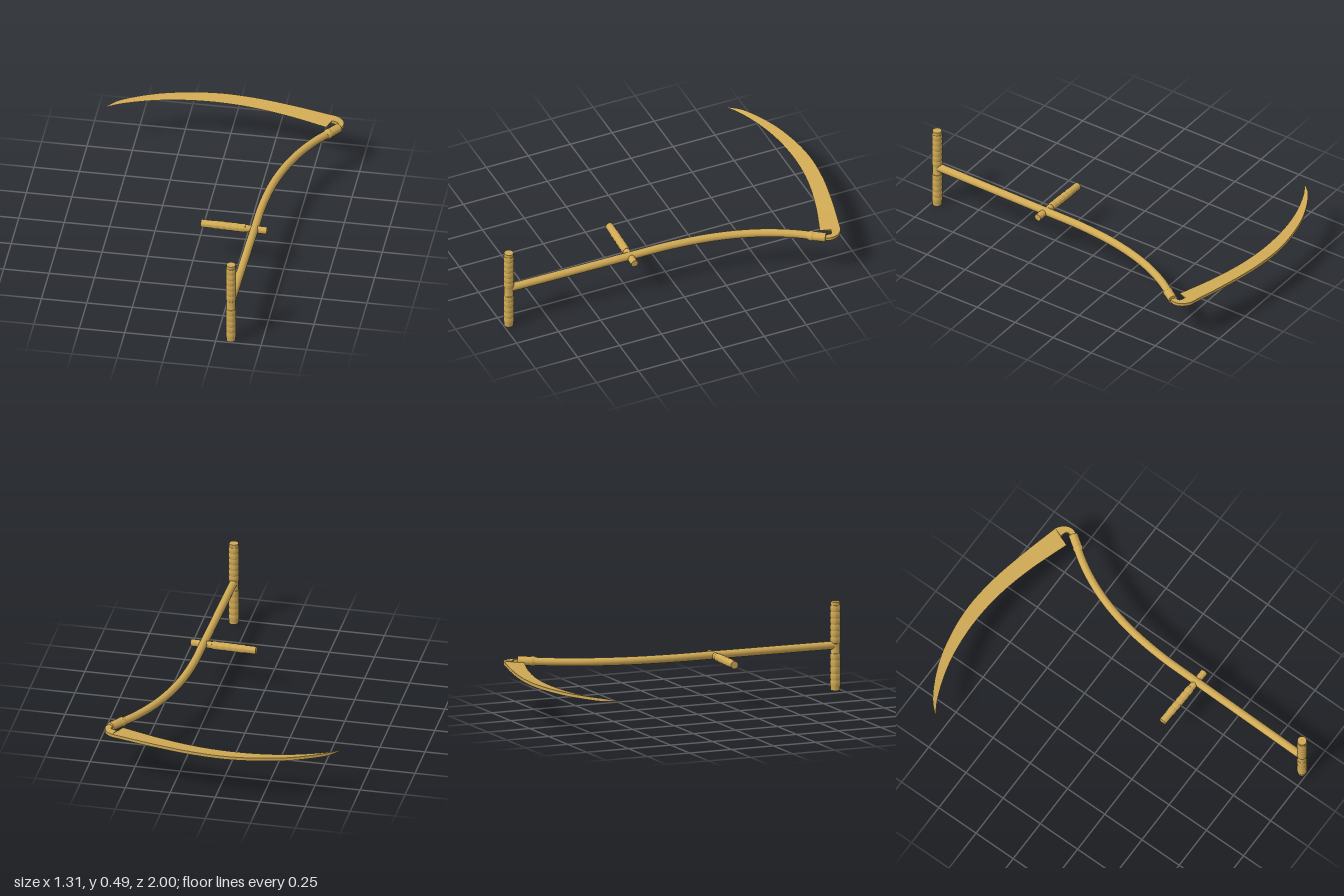
import * as THREE from 'three';
import { toCreasedNormals } from 'three/addons/utils/BufferGeometryUtils.js';

const Y = 0.249; // height of the shaft and blade plane
const material = new THREE.MeshStandardMaterial({ color: 0xd0aa55 });
const vec = (x, z, y = Y) => new THREE.Vector3(x, y, z);

function add(group, name, geometry) {
  const mesh = new THREE.Mesh(geometry, material);
  mesh.name = name;
  group.add(mesh);
  return mesh;
}

// Turned part: profile of [radius, distance] pairs along the line from a to b
function turned(group, name, a, b, profile) {
  const points = profile.map(([r, d]) => new THREE.Vector2(r, d));
  const mesh = add(group, name, toCreasedNormals(new THREE.LatheGeometry(points, 20), 0.5));
  mesh.position.copy(a);
  mesh.quaternion.setFromUnitVectors(new THREE.Vector3(0, 1, 0), b.clone().sub(a).normalize());
}

// Gently swelling beads of a wrapped grip
function beads(from, to, count, rMin, rMax) {
  const profile = [];
  const step = (to - from) / count;
  for (let i = 0; i < count; i++) {
    const d = from + i * step;
    profile.push([rMin, d], [rMax, d + step * 0.2], [rMax, d + step * 0.8]);
  }
  profile.push([rMin, to]);
  return profile;
}

// Wedge-section blade: thick back, sharp inner edge
function bladeGeometry() {
  const back = new THREE.CatmullRomCurve3([[-0.66, -0.77], [-0.59, -0.84], [-0.42, -0.93], [-0.25, -0.978],
    [-0.06, -1], [0.14, -0.987], [0.36, -0.945], [0.6, -0.885]].map(([x, z]) => vec(x, z)));
  const edge = new THREE.CatmullRomCurve3([[-0.66, -0.77], [-0.57, -0.822], [-0.41, -0.88], [-0.25, -0.911],
    [-0.06, -0.92], [0.13, -0.902], [0.34, -0.853], [0.56, -0.78]].map(([x, z]) => vec(x, z)));
  const n = 48;
  const positions = [];
  const face = (...pts) => pts.forEach((p) => positions.push(p.x, p.y, p.z));
  const quad = (a, b, c, d) => { face(a, b, c); face(a, c, d); };
  const section = (i) => {
    const t = i / n;
    const half = 0.009 * Math.min(1, 0.15 + t * 6);
    const o = back.getPoint(t);
    return [vec(o.x, o.z, Y + half), vec(o.x, o.z, Y - half), edge.getPoint(t)];
  };
  for (let i = 0; i < n; i++) {
    const [u0, l0, e0] = section(i);
    const [u1, l1, e1] = section(i + 1);
    quad(u0, e0, e1, u1);
    quad(u0, u1, l1, l0);
    quad(l0, l1, e1, e0);
  }
  const [u, l, e] = section(n);
  face(u, e, l);
  const geometry = new THREE.BufferGeometry();
  geometry.setAttribute('position', new THREE.Float32BufferAttribute(positions, 3));
  return toCreasedNormals(geometry, 0.3);
}

// Hooked tang joining the blade heel to the shaft
function tangGeometry() {
  const shape = new THREE.Shape();
  shape.moveTo(0.6, 0.885);
  shape.bezierCurveTo(0.632, 0.872, 0.66, 0.835, 0.652, 0.8);
  shape.lineTo(0.638, 0.765);
  shape.lineTo(0.612, 0.775);
  shape.lineTo(0.622, 0.815);
  shape.quadraticCurveTo(0.615, 0.832, 0.582, 0.833);
  const geometry = new THREE.ExtrudeGeometry(shape, { depth: 0.018, bevelEnabled: false, curveSegments: 10 });
  geometry.rotateX(-Math.PI / 2);
  geometry.translate(0, Y - 0.009, 0);
  return toCreasedNormals(geometry, 0.6);
}

export function createModel() {
  const model = new THREE.Group();
  model.name = 'scythe';

  // Bent shaft
  const path = new THREE.CatmullRomCurve3([vec(0.33, 0.97), vec(0.335, 0.6), vec(0.34, 0.25), vec(0.346, 0),
    vec(0.376, -0.24), vec(0.438, -0.46), vec(0.52, -0.63), vec(0.618, -0.772)]);
  add(model, 'shaft', new THREE.TubeGeometry(path, 70, 0.0225, 18));

  // Upright grip at the near end
  turned(model, 'uprightGrip', vec(0.33, 0.97, 0), vec(0.33, 0.97, 1), [
    [0, 0], [0.0255, 0], [0.0255, 0.02],
    ...beads(0.02, 0.205, 5, 0.0265, 0.0285),
    [0.0255, 0.206], [0.0255, 0.26],
    ...beads(0.261, 0.47, 6, 0.0265, 0.0285),
    [0.0255, 0.471], [0.0255, 0.49], [0, 0.49],
  ]);

  // Side grip crossing the shaft
  turned(model, 'sideGrip', vec(0.045, 0.241, 0.245), vec(0.41, 0.255, 0.245), [
    [0, 0], [0.0215, 0], [0.0215, 0.062],
    ...beads(0.063, 0.245, 5, 0.0215, 0.0235),
    [0.02, 0.246], [0.02, 0.365], [0, 0.365],
  ]);

  // Ferrule at the far end
  turned(model, 'ferrule', vec(0.571, -0.703), vec(0.63, -0.787), [
    [0, 0], [0.022, 0], [0.028, 0.014], [0.028, 0.026], [0.0255, 0.03], [0.0255, 0.1], [0, 0.1],
  ]);

  add(model, 'blade', bladeGeometry());
  add(model, 'tang', tangGeometry());
  return model;
}
